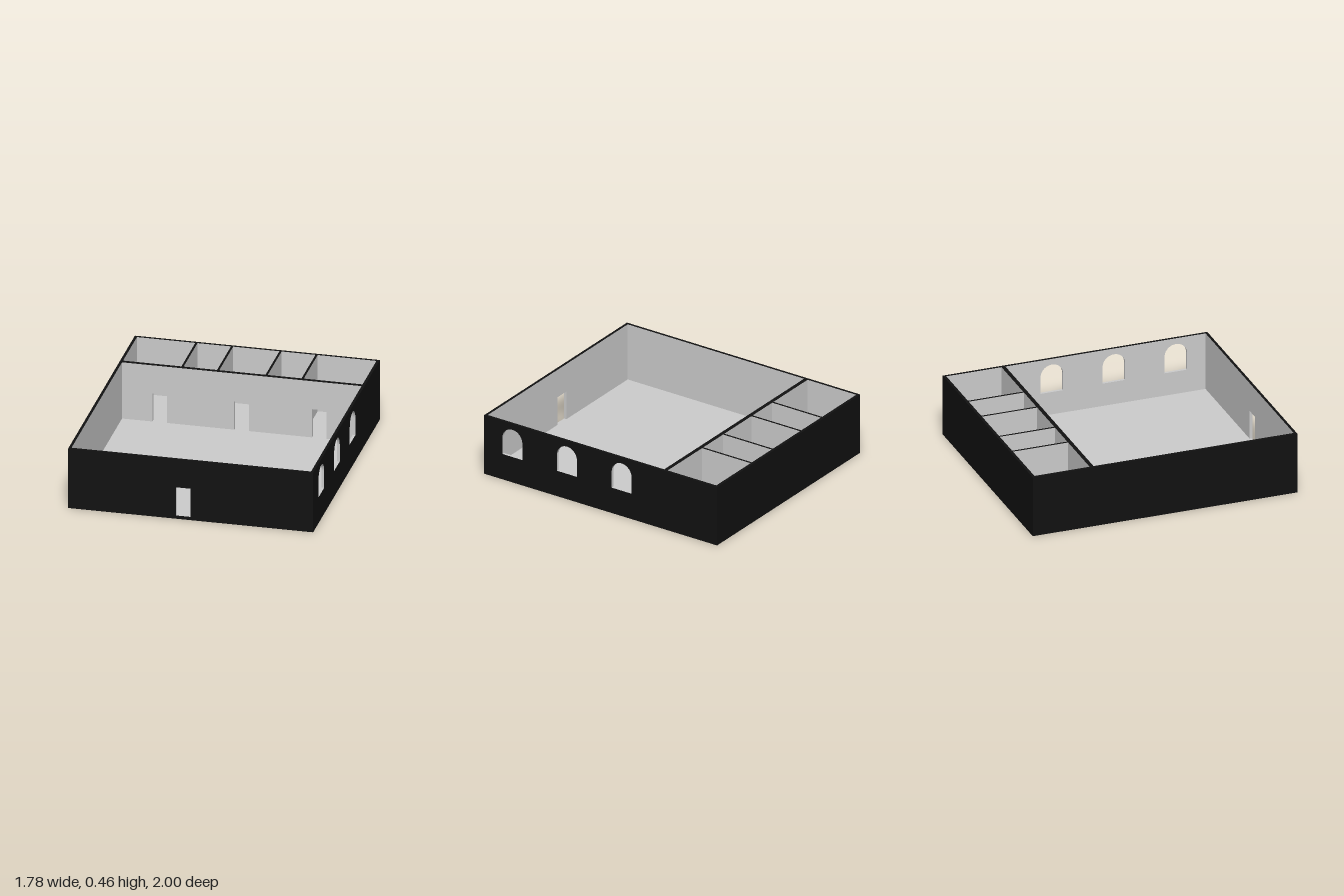
import * as THREE from 'three';

const W = 0.89, D = 1, H = 0.46;    // half width, half depth, height
const T = 0.02, FLOOR = 0.025;      // outer wall thickness, floor level
const DOOR_W = 0.107, DOOR_TOP = 0.243;

const grey = new THREE.MeshStandardMaterial({ color: 0xcccccc });
const black = new THREE.MeshStandardMaterial({ color: 0x111111 });

// Triangles lying on the outer box of the building are black, all others grey.
function paintedMesh(geometry, name) {
  const source = geometry.index ? geometry.toNonIndexed() : geometry;
  const p = source.attributes.position;
  const inner = [], outer = [];
  for (let i = 0; i < p.count; i += 3) {
    const on = (get) => [0, 1, 2].every((k) => get(i + k));
    const near = (a, b) => Math.abs(a - b) < 1e-4;
    const outside =
      on((k) => near(p.getY(k), H)) || on((k) => near(p.getY(k), 0)) ||
      on((k) => near(p.getX(k), W)) || on((k) => near(p.getX(k), -W)) ||
      on((k) => near(p.getZ(k), D)) || on((k) => near(p.getZ(k), -D));
    (outside ? outer : inner).push(i, i + 1, i + 2);
  }
  source.setIndex([...inner, ...outer]);
  source.clearGroups();
  source.addGroup(0, inner.length, 0);
  source.addGroup(inner.length, outer.length, 1);
  const mesh = new THREE.Mesh(source, [grey, black]);
  mesh.name = name;
  return mesh;
}

// Rectangular door opening starting at u
function door(u) {
  const h = new THREE.Path();
  h.moveTo(u, FLOOR);
  h.lineTo(u, DOOR_TOP);
  h.lineTo(u + DOOR_W, DOOR_TOP);
  h.lineTo(u + DOOR_W, FLOOR);
  h.closePath();
  return h;
}

// Round-headed window opening centred on u
function archWindow(u) {
  const r = 0.085, sill = 0.2, spring = 0.33;
  const h = new THREE.Path();
  h.moveTo(u - r, sill);
  h.lineTo(u + r, sill);
  h.lineTo(u + r, spring);
  h.absarc(u, spring, r, 0, Math.PI, false);
  h.closePath();
  return h;
}

// Upright slab from u0 to u1 with openings
function slab(u0, u1, bottom, thickness, holes) {
  const s = new THREE.Shape();
  s.moveTo(u0, bottom);
  s.lineTo(u1, bottom);
  s.lineTo(u1, H);
  s.lineTo(u0, H);
  s.closePath();
  s.holes.push(...holes);
  return new THREE.ExtrudeGeometry(s, { depth: thickness, bevelEnabled: false, curveSegments: 24 });
}

// Wall running along x, its back face at z
function wallX(name, u0, u1, z, thickness, bottom, holes = []) {
  return paintedMesh(slab(u0, u1, bottom, thickness, holes).translate(0, 0, z), name);
}

// Wall running along z, its lower-x face at x
function wallZ(name, u0, u1, x, thickness, bottom, holes = []) {
  const g = slab(u0, u1, bottom, thickness, holes);
  g.rotateY(-Math.PI / 2).translate(x + thickness, 0, 0);
  return paintedMesh(g, name);
}

export function createModel() {
  const model = new THREE.Group();
  model.name = 'building';

  // Floor slab inside the outer walls
  const floor = new THREE.BoxGeometry(2 * (W - T), FLOOR, 2 * (D - T)).translate(0, FLOOR / 2, 0);
  model.add(paintedMesh(floor, 'floor'));

  // Outer walls
  model.add(
    wallX('frontWall', -W + T, W - T, D - T, T, 0, [door(-0.107)]),
    wallX('backWall', -W + T, W - T, -D, T, 0),
    wallZ('windowWall', -D, D, W - T, T, 0, [0.755, 0.287, -0.182].map(archWindow)),
    wallZ('plainSideWall', -D, D, -W, T, 0),
  );

  // Cross wall between the hall and the back rooms
  const low = FLOOR / 2; // inner walls are bedded in the floor
  model.add(wallX('crossWall', -W + T, W - T, -0.563, 0.03, low, [-0.65, -0.055, 0.51].map(door)));

  // Partitions between the back rooms; the middle pair have doorways
  for (const [x, open] of [[-0.446, false], [-0.187, true], [0.165, true], [0.427, false]]) {
    model.add(wallZ('partition', -D + T, -0.563, x, 0.016, low, open ? [door(-0.79)] : []));
  }
  return model;
}
